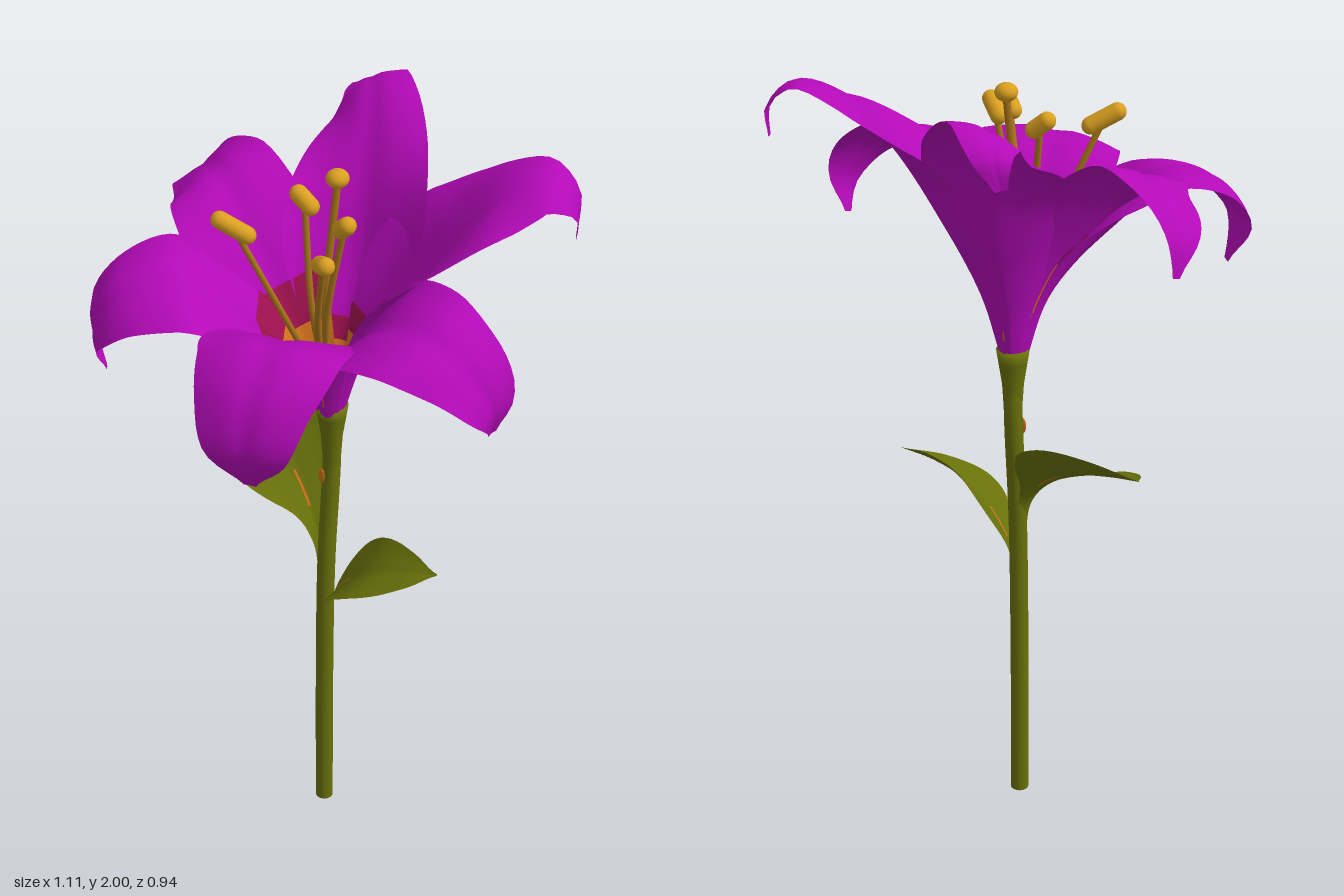
import * as THREE from 'three';

const mat = (name, color, side = THREE.FrontSide) => {
  const m = new THREE.MeshStandardMaterial({ color, side });
  m.name = name;
  return m;
};
const V = (p) => new THREE.Vector3(...p);
const curve = (pts) => new THREE.CatmullRomCurve3(pts.map(V));

// Smooth 1D profile through evenly spaced values
const profile = (values) => {
  const s = new THREE.SplineCurve(values.map((v, i) => new THREE.Vector2(i, v)));
  return (t) => s.getPoint(t).y;
};

// Thin curved blade swept along a spine; lift moves it along its inner normal
function blade({ spine, side, width, cup, t0 = 0, t1 = 1, lift = 0, nu = 40, nv = 14 }) {
  const path = curve(spine);
  const pos = [], idx = [];
  for (let i = 0; i <= nu; i++) {
    const t = t0 + (t1 - t0) * i / nu;
    const c = path.getPointAt(t), tan = path.getTangentAt(t);
    const b = side.clone().addScaledVector(tan, -side.dot(tan)).normalize();
    const n = tan.clone().cross(b);
    const w = width(t);
    for (let j = 0; j <= nv; j++) {
      const v = 2 * j / nv - 1;
      const groove = -0.05 * Math.exp(-v * v * 30);
      const p = c.clone().addScaledVector(b, w * v)
        .addScaledVector(n, w * (cup(t) * v * v + groove) + lift);
      pos.push(p.x, p.y, p.z);
    }
  }
  const row = nv + 1;
  for (let i = 0; i < nu; i++) for (let j = 0; j < nv; j++) {
    const a = i * row + j, d = a + row;
    idx.push(a, d, a + 1, a + 1, d, d + 1);
  }
  const g = new THREE.BufferGeometry();
  g.setAttribute('position', new THREE.Float32BufferAttribute(pos, 3));
  g.setIndex(idx);
  g.computeVertexNormals();
  return g;
}

export function createModel() {
  const root = new THREE.Group();
  root.name = 'flower';
  const purple = mat('petalPurple', 0xb40ab8, THREE.DoubleSide);
  const red = mat('throatRed', 0x9c104c, THREE.DoubleSide);
  const orange = mat('throatOrange', 0xd0701a, THREE.DoubleSide);
  const stemGreen = mat('stemGreen', 0x69700a);
  const leafGreen = mat('leafGreen', 0x69710a, THREE.DoubleSide);
  const gold = mat('antherGold', 0xdaa020);
  const ochre = mat('filamentOchre', 0xa8741a);
  const add = (name, geo, material, parent = root) => {
    const m = new THREE.Mesh(geo, material);
    m.name = name;
    parent.add(m);
    return m;
  };

  // Stem with a closed foot and a flared receptacle
  add('stem', new THREE.TubeGeometry(curve([
    [-0.033, 0, -0.047], [-0.033, 0.4, -0.047], [-0.03, 0.8, -0.05],
    [-0.034, 1.1, -0.07], [-0.03, 1.26, -0.068]]), 30, 0.023, 16), stemGreen);
  const foot = add('stemFoot', new THREE.CylinderGeometry(0.023, 0.023, 0.01, 16), stemGreen);
  foot.position.set(-0.033, 0.005, -0.047);
  const cupProfile = [[0.022, 0], [0.027, 0.08], [0.036, 0.14], [0.041, 0.172], [0, 0.172]]
    .map((p) => new THREE.Vector2(...p));
  const receptacle = add('receptacle', new THREE.LatheGeometry(cupProfile, 20), stemGreen);
  receptacle.position.set(-0.031, 1.11, -0.068);
  const floor = add('throatFloor', new THREE.CircleGeometry(0.036, 20), orange);
  floor.rotation.x = -Math.PI / 2;
  floor.position.set(-0.028, 1.31, -0.062);
  const fleck = add('stemFleck', new THREE.SphereGeometry(0.016, 10, 8), orange);
  fleck.scale.set(0.7, 1.3, 0.3);
  fleck.position.set(-0.042, 1.07, -0.045);

  // Petal shapes: half width and cupping from base to tip, and painted throat limits
  const back = { width: profile([0.03, 0.058, 0.105, 0.155, 0.175, 0.16, 0.12, 0.075, 0.015]),
    cup: profile([0.5, 0.6, 0.7, 0.6, 0.35, 0.05, -0.25, -0.2, 0.1]), paint: [0.17, 0.23] };
  const sides = { width: profile([0.03, 0.052, 0.09, 0.135, 0.158, 0.148, 0.118, 0.078, 0.012]),
    cup: profile([0.5, 0.45, 0.3, 0.15, 0.05, -0.05, -0.1, 0.1, 0.2]), paint: [0.23, 0.35] };
  const front = { width: profile([0.03, 0.055, 0.1, 0.15, 0.178, 0.17, 0.14, 0.1, 0.015]),
    cup: profile([0.5, 0.45, 0.35, 0.12, -0.08, -0.18, -0.2, -0.1, 0]), paint: [0.24, 0.35] };

  // Six petals: shape, sideways lean in x and z, and midrib from base to curled tip
  const petals = {
    backLeft: [back, [0.1, 0.3], [[-0.01, 1.27, -0.09], [0.03, 1.42, -0.11], [0.1, 1.6, -0.16],
      [0.19, 1.79, -0.23], [0.28, 1.93, -0.32], [0.355, 1.96, -0.39], [0.4, 1.9, -0.435],
      [0.405, 1.82, -0.43]]],
    backRight: [back, [-0.25, 0.42], [[-0.045, 1.27, -0.09], [-0.06, 1.42, -0.12], [-0.08, 1.6, -0.18],
      [-0.12, 1.8, -0.24], [-0.19, 1.94, -0.32], [-0.255, 1.98, -0.375], [-0.3, 1.94, -0.415],
      [-0.32, 1.87, -0.41]]],
    left: [sides, [0.04, 0.36], [[0, 1.27, -0.06], [0.05, 1.42, -0.04], [0.14, 1.58, 0], [0.27, 1.7, 0.03],
      [0.4, 1.73, 0.02], [0.5, 1.67, -0.02], [0.545, 1.57, -0.06], [0.52, 1.49, -0.08]]],
    right: [sides, [0.04, 0.42], [[-0.06, 1.27, -0.06], [-0.09, 1.42, -0.04], [-0.16, 1.59, 0],
      [-0.26, 1.74, 0.02], [-0.37, 1.81, 0.005], [-0.47, 1.78, -0.03], [-0.54, 1.71, -0.065],
      [-0.55, 1.63, -0.09]]],
    frontRight: [front, [0.04, 0.25], [[-0.04, 1.27, -0.035], [-0.06, 1.4, 0], [-0.085, 1.53, 0.08],
      [-0.135, 1.645, 0.17], [-0.2, 1.71, 0.27], [-0.28, 1.67, 0.38], [-0.325, 1.57, 0.425],
      [-0.305, 1.45, 0.4]]],
    frontLeft: [front, [0.04, 0.25], [[-0.02, 1.27, -0.035], [0, 1.4, 0], [0.04, 1.53, 0.085],
      [0.1, 1.645, 0.18], [0.165, 1.7, 0.28], [0.22, 1.64, 0.38], [0.245, 1.5, 0.425],
      [0.21, 1.38, 0.375]]],
  };
  for (const [name, [{ width, cup, paint }, [leanX, leanZ], spine]] of Object.entries(petals)) {
    const heading = V(spine[7]).sub(V(spine[0])).setY(0);
    const side = new THREE.Vector3(leanX, 0.95, leanZ).cross(heading).normalize();
    const shape = { spine, side, width, cup };
    const g = new THREE.Group();
    g.name = name + 'Petal';
    root.add(g);
    add('petalBlade', blade(shape), purple, g);
    // Painted throat on the inner face
    add('throatOrange', blade({ ...shape, t0: 0.04, t1: paint[0], lift: 0.004, nu: 12 }), orange, g);
    add('throatRed', blade({ ...shape, t0: paint[0], t1: paint[1], lift: 0.004, nu: 6 }), red, g);
  }

  // Stamens: curved filament, long anther lying between two end points
  const up = new THREE.Vector3(0, 1, 0);
  const stamens = [
    [[-0.145, 1.855, 0.19], [-0.08, 1.805, 0.13]],
    [[-0.1, 1.875, -0.01], [-0.05, 1.83, -0.03]],
    [[0.11, 1.88, 0], [0.055, 1.83, -0.015]],
    [[0.175, 1.845, 0.12], [0.105, 1.805, 0.085]],
  ];
  stamens.forEach(([a, b]) => {
    const A = V(a), B = V(b), mid = A.clone().add(B).multiplyScalar(0.5);
    const g = new THREE.Group();
    g.name = 'stamen';
    root.add(g);
    const path = curve([[-0.025, 1.32, -0.055], [mid.x * 0.38 - 0.005, 1.58, mid.z * 0.4],
      mid.toArray()]);
    add('filament', new THREE.TubeGeometry(path, 16, 0.008, 8), ochre, g);
    const len = A.distanceTo(B);
    const anther = add('anther', new THREE.CapsuleGeometry(0.022, len - 0.03, 6, 12), gold, g);
    anther.position.copy(mid);
    anther.quaternion.setFromUnitVectors(up, A.clone().sub(B).normalize());
  });

  // Pistil with a rounded stigma
  add('pistil', new THREE.TubeGeometry(curve([[-0.025, 1.32, -0.055], [-0.01, 1.6, -0.03],
    [-0.004, 1.92, -0.06]]), 20, 0.009, 8), ochre);
  const stigma = add('stigma', new THREE.SphereGeometry(0.028, 16, 12), gold);
  stigma.scale.y = 0.8;
  stigma.position.set(-0.004, 1.927, -0.06);

  // Two leaves tapering into the stem, each with a short pale vein on both faces
  const leaf = (name, spine, across, size) => {
    const shape = { spine, side: V(across).normalize(), cup: () => 0.2 };
    const widths = [0.014, 0.018, 0.04, 0.095, 0.132, 0.135, 0.112, 0.065, 0.003];
    const g = new THREE.Group();
    g.name = name;
    root.add(g);
    add('leafBlade', blade({ ...shape, width: profile(widths.map((w) => w * size)) }), leafGreen, g);
    for (const lift of [-0.003, 0.003]) {
      add('leafVein', blade({ ...shape, width: () => 0.003, t0: 0.28, t1: 0.45, lift: lift - 0.004 * size,
        nu: 8, nv: 2 }), orange, g);
    }
  };
  leaf('rightLeaf', [[-0.045, 0.78, -0.05], [-0.062, 0.87, -0.05], [-0.12, 0.95, -0.06],
    [-0.25, 1.03, -0.085], [-0.38, 1.08, -0.11], [-0.49, 1.11, -0.13]], [-0.1, -0.5, 0.85], 1);
  leaf('leftLeaf', [[-0.02, 0.6, -0.045], [-0.002, 0.71, -0.045], [0.05, 0.79, -0.05],
    [0.13, 0.86, -0.06], [0.22, 0.9, -0.09], [0.3, 0.92, -0.13]], [-0.1, 0.5, -0.85], 0.7);

  return root;
}
